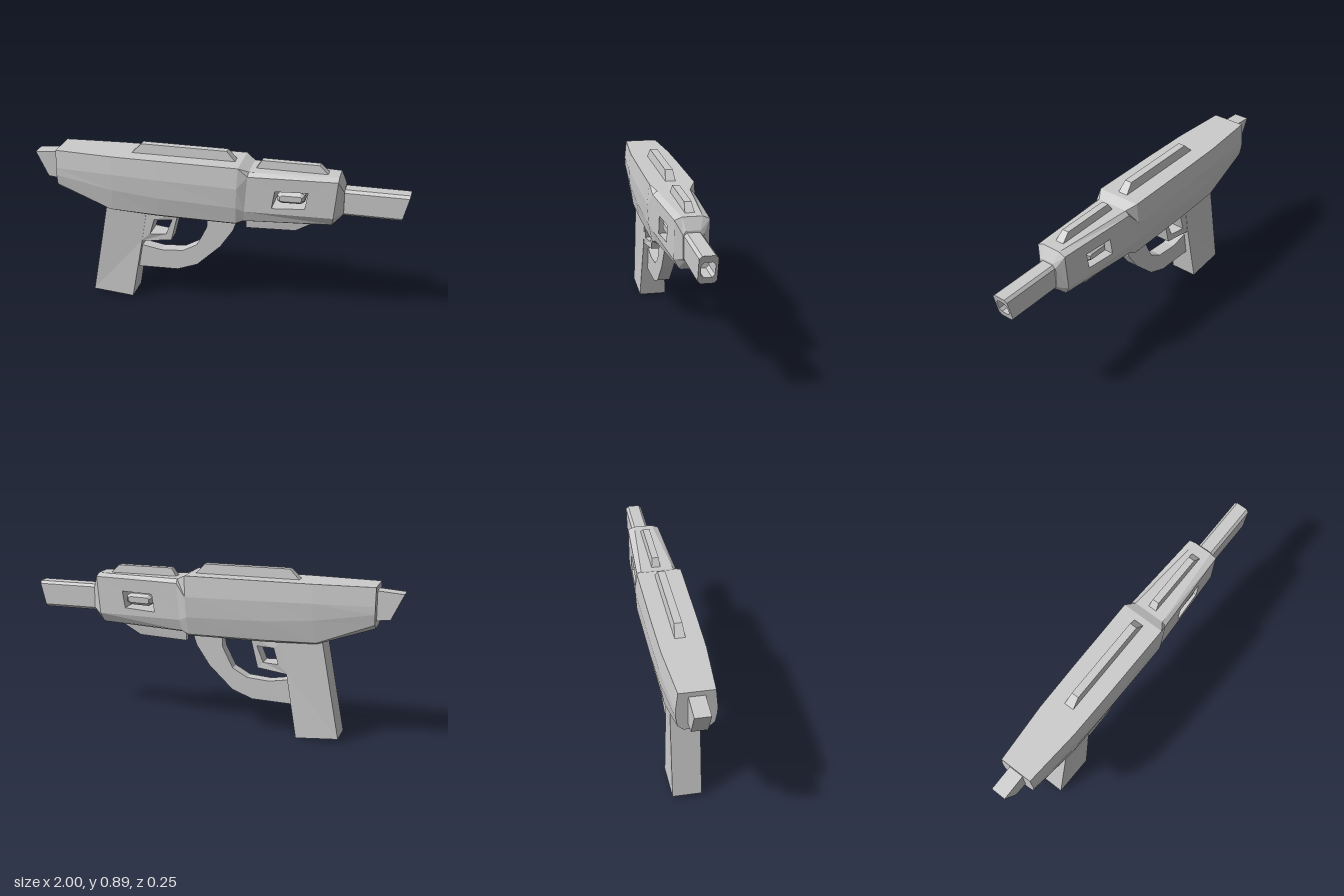
import * as THREE from 'three';

const material = new THREE.MeshStandardMaterial({ color: 0xcccccc, flatShading: true });

// Full ring from a half profile [x, y, z] listed top to bottom on the left side
const ring = half => [...half, ...half.map(([x, y, z]) => [x, y, -z]).reverse()];

function meshFromQuads(name, quads) {
  const pos = [];
  for (const [a, b, c, d] of quads) pos.push(...a, ...b, ...c, ...a, ...c, ...d);
  const geo = new THREE.BufferGeometry();
  geo.setAttribute('position', new THREE.Float32BufferAttribute(pos, 3));
  geo.computeVertexNormals();
  const mesh = new THREE.Mesh(geo, material);
  mesh.name = name;
  return mesh;
}

// Skin mirrored cross-sections along x and close both ends; skip(i, j) leaves a face open
function loft(halves, skip = () => false) {
  const rings = halves.map(ring), n = rings[0].length, quads = [];
  for (let i = 0; i < rings.length - 1; i++) {
    const a = rings[i], b = rings[i + 1];
    for (let j = 0; j < n; j++) {
      const k = (j + 1) % n;
      if (!skip(i, j)) quads.push([a[j], a[k], b[k], b[j]]);
    }
  }
  const first = rings[0], last = rings[rings.length - 1];
  for (let j = 0; j < n / 2 - 1; j++) {
    const k = n - 1 - j;
    quads.push([last[j], last[j + 1], last[k - 1], last[k]]);
    quads.push([first[k], first[k - 1], first[j + 1], first[j]]);
  }
  return quads;
}

// Side outline given thickness; halfWidth may vary with x and y
function slab(name, outline, halfWidth, hole) {
  const toPoints = pts => pts.map(p => new THREE.Vector2(...p));
  const shape = new THREE.Shape(toPoints(outline));
  if (hole) shape.holes.push(new THREE.Path(toPoints(hole)));
  const geo = new THREE.ExtrudeGeometry(shape, { depth: 2, bevelEnabled: false });
  geo.translate(0, 0, -1);
  const p = geo.attributes.position;
  for (let i = 0; i < p.count; i++) {
    const w = typeof halfWidth === 'number' ? halfWidth : halfWidth(p.getX(i), p.getY(i));
    p.setZ(i, p.getZ(i) * w);
  }
  geo.computeVertexNormals();
  const mesh = new THREE.Mesh(geo, material);
  mesh.name = name;
  return mesh;
}

export function createModel() {
  const group = new THREE.Group();
  group.name = 'blaster';

  // Rear receiver, stepping down to the front housing
  const neck = [[0.18, 0.815, 0.085], [0.178, 0.795, 0.107], [0.162, 0.6, 0.107], [0.157, 0.54, 0.09], [0.155, 0.53, 0.07]];
  group.add(meshFromQuads('receiver', loft([
    [[-0.865, 0.837, 0.088], [-0.865, 0.74, 0.098], [-0.865, 0.7, 0.098], [-0.865, 0.645, 0.088], [-0.865, 0.62, 0.06]],
    [[-0.55, 0.838, 0.11], [-0.55, 0.74, 0.12], [-0.55, 0.65, 0.115], [-0.57, 0.53, 0.095], [-0.57, 0.52, 0.075]],
    [[-0.3, 0.839, 0.114], [-0.3, 0.735, 0.124], [-0.3, 0.63, 0.119], [-0.3, 0.525, 0.099], [-0.3, 0.512, 0.08]],
    [[0.13, 0.84, 0.117], [0.125, 0.73, 0.127], [0.12, 0.62, 0.12], [0.116, 0.525, 0.1], [0.115, 0.513, 0.08]],
    neck,
  ])));

  // Front housing with a window passing through both sides
  const front = [[0.64, 0.815, 0.05], [0.64, 0.8, 0.085], [0.622, 0.6, 0.085], [0.615, 0.555, 0.06], [0.61, 0.545, 0.045]];
  const nose = [[0.67, 0.755, 0.035], [0.67, 0.735, 0.05], [0.67, 0.62, 0.05], [0.665, 0.605, 0.04], [0.663, 0.598, 0.03]];
  const housing = loft([neck, front, nose], (i, j) => i === 0 && (j === 1 || j === 7));
  const corners = [neck[1], neck[2], front[2], front[1]];
  const opening = [[0.32, 0.725, 0.099], [0.305, 0.63, 0.1], [0.475, 0.64, 0.092], [0.49, 0.73, 0.091]];
  const flip = ([x, y, z]) => [x, y, -z];
  for (let k = 0; k < 4; k++) {
    const m = (k + 1) % 4;
    const panel = [corners[k], corners[m], opening[m], opening[k]];
    housing.push(panel, panel.map(flip).reverse());
    housing.push([opening[k], opening[m], flip(opening[m]), flip(opening[k])]);
  }
  group.add(meshFromQuads('frontHousing', housing));

  // Rounded cell crossing the window
  const cell = new THREE.Shape([
    [0.335, 0.67], [0.35, 0.66], [0.45, 0.663], [0.465, 0.675], [0.465, 0.7], [0.45, 0.71], [0.35, 0.708], [0.335, 0.695],
  ].map(p => new THREE.Vector2(...p)));
  const cellGeo = new THREE.ExtrudeGeometry(cell, {
    depth: 0.13, bevelThickness: 0.02, bevelSize: 0.015, bevelOffset: -0.008, bevelSegments: 1,
  });
  cellGeo.translate(0, 0, -0.065);
  const cellMesh = new THREE.Mesh(cellGeo, material);
  cellMesh.name = 'windowCell';
  group.add(cellMesh);

  // Barrel with a slanted muzzle and a hollow bore
  const barrelRing = (top, bottom, w, c, xAt) =>
    [[top, w - c], [top - c, w], [bottom + c, w], [bottom, w - c]].map(([y, z]) => [xAt(y), y, z]);
  const muzzle = y => 1 - 0.25 * (0.745 - y);
  group.add(meshFromQuads('barrel', loft([
    barrelRing(0.745, 0.603, 0.045, 0.014, () => 0.65),
    barrelRing(0.745, 0.603, 0.045, 0.014, muzzle),
    barrelRing(0.712, 0.635, 0.033, 0.014, muzzle),
    barrelRing(0.712, 0.635, 0.033, 0.014, () => 0.85),
  ])));

  // Rear plug
  group.add(slab('rearPlug', [[-1, 0.8], [-0.935, 0.665], [-0.85, 0.655], [-0.85, 0.812]], 0.04));

  // Top rails and lower keel
  group.add(slab('rearRail', [[-0.465, 0.835], [0.1, 0.835], [0.05, 0.89], [-0.41, 0.89]], (x, y) => y > 0.86 ? 0.02 : 0.027));
  group.add(slab('frontRail', [[0.205, 0.81], [0.585, 0.81], [0.535, 0.857], [0.235, 0.857]], (x, y) => y > 0.83 ? 0.018 : 0.024));
  group.add(slab('keel', [[0.155, 0.465], [0.42, 0.477], [0.54, 0.55], [0.155, 0.55]], (x, y) => y > 0.5 ? 0.022 : 0.014));

  // Grip, narrowing along its upper front edge
  group.add(slab('grip',
    [[-0.695, 0.02], [-0.47, 0.003], [-0.41, 0.35], [-0.38, 0.53], [-0.6, 0.535]],
    (x, y) => x > -0.42 ? 0.06 : 0.075));
  group.children[group.children.length - 1].geometry.translate(0, -0.003, 0);

  // Trigger frame
  group.add(slab('triggerFrame',
    [[-0.42, 0.338], [-0.25, 0.357], [-0.21, 0.52], [-0.39, 0.52]],
    x => x < -0.3 ? 0.058 : 0.042,
    [[-0.365, 0.388], [-0.28, 0.388], [-0.245, 0.475], [-0.34, 0.475]]));

  // Curved hand guard
  group.add(slab('handGuard', [
    [-0.45, 0.17], [-0.22, 0.178], [-0.11, 0.22], [0.02, 0.345], [0.09, 0.45], [0.115, 0.525],
    [-0.05, 0.525], [-0.055, 0.45], [-0.11, 0.34], [-0.19, 0.295], [-0.31, 0.285], [-0.43, 0.305],
  ], 0.033));

  return group;
}
